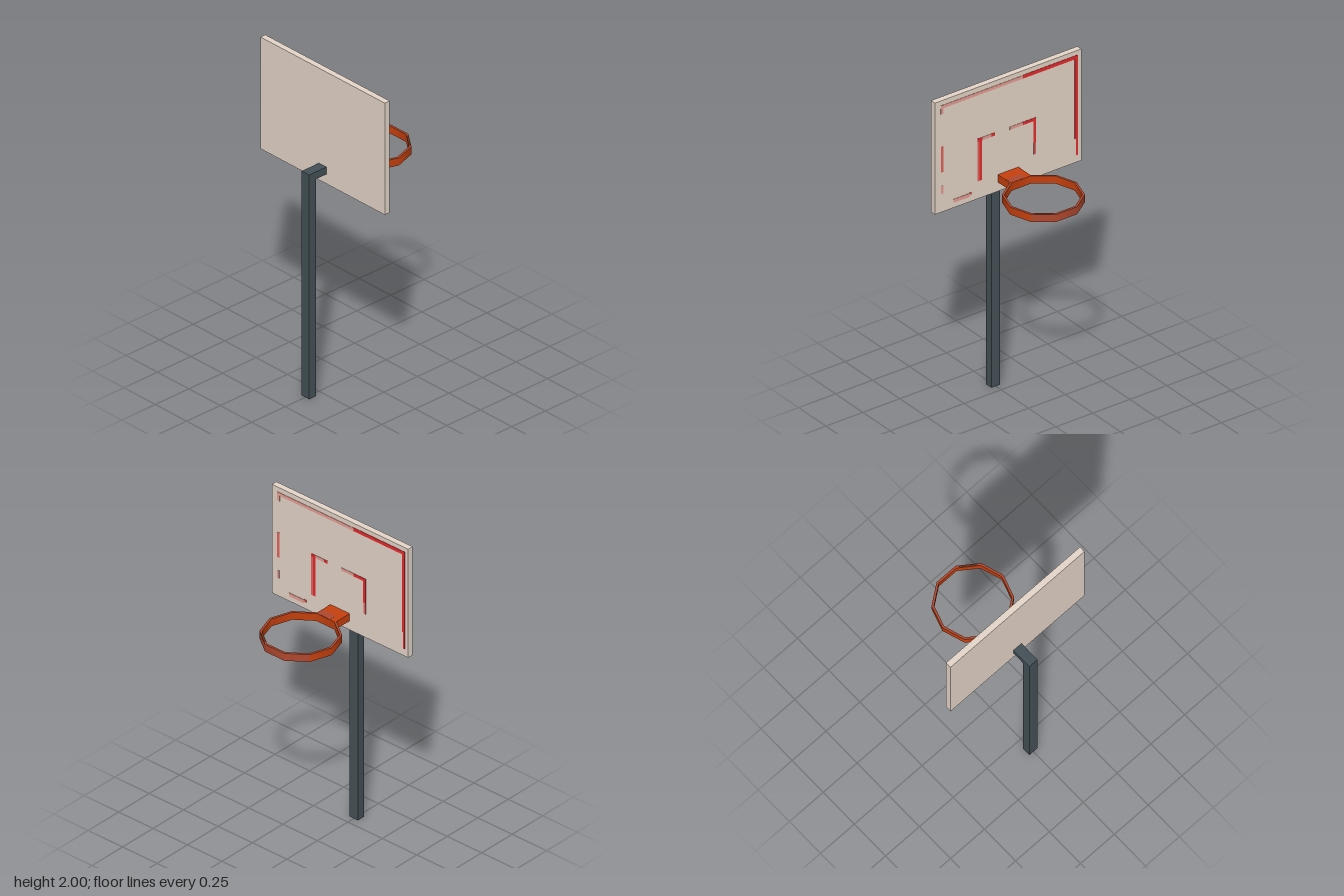
import * as THREE from 'three';

const material = (name, color, side = THREE.FrontSide) => {
  const m = new THREE.MeshStandardMaterial({ color, side });
  m.name = name;
  return m;
};

export function createModel() {
  const group = new THREE.Group();
  const steel = material('dark steel', 0x435056);
  const board = material('weathered board', 0xe4d5c8);
  const orange = material('orange paint', 0xc5400e, THREE.DoubleSide);
  const rust = material('rust', 0xb0482e);
  const darkRust = material('dark rust', 0x6a2f18);
  const red = material('red paint', 0xe52a2d);
  const worn = material('worn paint', 0xe2625c);
  const faded = material('faded paint', 0xeba197);

  const add = (name, geometry, mat, x, y, z) => {
    const mesh = new THREE.Mesh(geometry, mat);
    mesh.position.set(x, y, z);
    mesh.name = name;
    group.add(mesh);
    return mesh;
  };

  // Box given by its low and high corners
  const box = (name, mat, [x0, y0, z0], [x1, y1, z1]) => add(
    name, new THREE.BoxGeometry(x1 - x0, y1 - y0, z1 - z0), mat,
    (x0 + x1) / 2, (y0 + y1) / 2, (z0 + z1) / 2,
  );

  box('pole', steel, [-0.35, 0, -0.03], [-0.299, 1.405, 0.03]);
  box('arm', steel, [-0.299, 1.36, -0.03], [-0.222, 1.405, 0.03]);
  box('backboard', board, [-0.222, 1.3, -0.495], [-0.186, 2, 0.495]);
  box('rimBracket', orange, [-0.186, 1.358, -0.07], [-0.068, 1.405, 0.07]);
  box('bracketWear', rust, [-0.118, 1.405, -0.03], [-0.07, 1.406, 0.065]);

  // Ten-sided rim, smooth around, with a corner pointing along each z direction
  const [rimX, bottom, top, outer, inner, step] = [0.136, 1.358, 1.405, 0.226, 0.212, Math.PI / 5];
  const wall = (name, mat, radius, first, count) => add(
    name,
    new THREE.CylinderGeometry(radius, radius, top - bottom, count, 1, true, first * step, count * step),
    mat, rimX, (top + bottom) / 2, 0,
  );
  wall('rimInnerWall', orange, inner, 0, 10);
  wall('rimOuterWall', orange, outer, 4, 7);
  wall('rimRustyWall', rust, outer, 1, 3);

  // Flat rim edges, open where the bracket fills the side nearest the board
  const edge = (name, mat, y, tilt) => {
    const arc = new THREE.RingGeometry(inner, outer, 9, 1, Math.PI / 2 + 3 * step, 9 * step);
    add(name, arc.rotateX(tilt), mat, rimX, y, 0);
  };
  edge('rimTop', rust, top, -Math.PI / 2);
  edge('rimBottom', orange, bottom, Math.PI / 2);

  // Dark wear on one side of the rim's top
  const wearRadius = (inner + outer) / 2 * Math.cos(step / 2);
  const wear = add('rimTopWear', new THREE.BoxGeometry(0.012, 0.001, 0.1), darkRust,
    rimX + wearRadius * Math.cos(step), top, wearRadius * Math.sin(step));
  wear.rotation.y = -step;

  // Worn painted lines on the playing face: material, z range, y range
  const lines = [
    [faded, -0.1, 0.455, 1.95, 1.97],
    [red, -0.47, -0.1, 1.95, 1.972],
    [red, -0.47, -0.45, 1.45, 1.95],
    [red, -0.47, -0.458, 1.345, 1.45],
    [faded, 0.437, 0.456, 1.915, 1.95],
    [worn, 0.438, 0.455, 1.55, 1.71],
    [faded, 0.44, 0.455, 1.415, 1.465],
    [faded, 0.26, 0.37, 1.332, 1.354],
    [worn, 0.245, 0.26, 1.343, 1.358],
    [red, 0.178, 0.196, 1.41, 1.658],
    [worn, 0.196, 0.208, 1.41, 1.658],
    [red, 0.175, 0.208, 1.658, 1.677],
    [faded, 0.115, 0.175, 1.658, 1.677],
    [red, 0.09, 0.115, 1.658, 1.677],
    [faded, -0.1, -0.01, 1.658, 1.677],
    [red, -0.187, -0.1, 1.658, 1.677],
    [red, -0.187, -0.17, 1.52, 1.658],
    [worn, -0.187, -0.172, 1.45, 1.52],
  ];
  for (const [mat, z0, z1, y0, y1] of lines) {
    box('paintedLine', mat, [-0.186, y0, z0], [-0.1842, y1, z1]);
  }

  return group;
}
